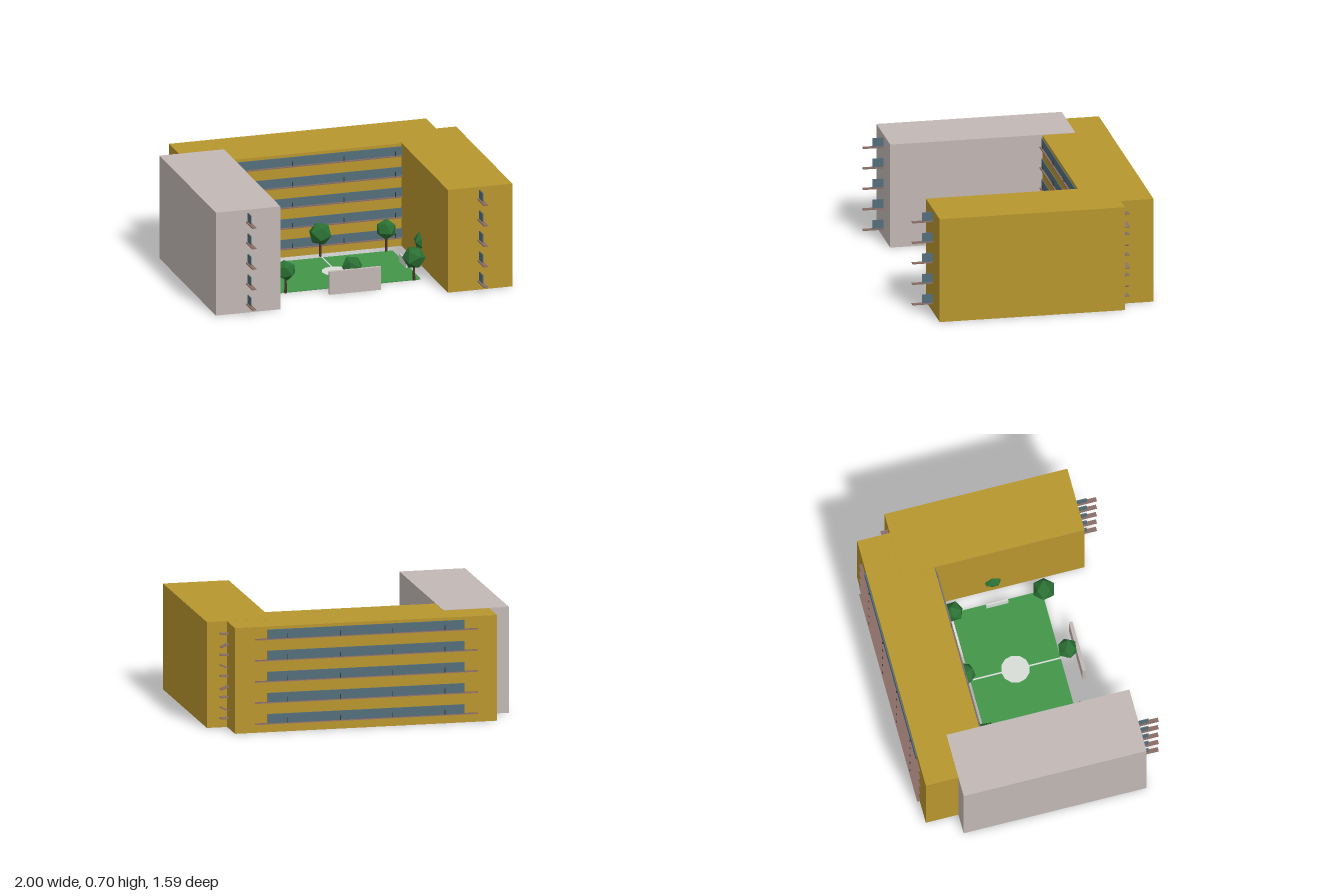
import * as THREE from 'three';

const mat = (color, flatShading = false) => new THREE.MeshStandardMaterial({ color, flatShading });

export function createModel() {
  const model = new THREE.Group();
  const ochre = mat(0xb8962e), stone = mat(0xc2b8b5), glass = mat(0x546e7a);
  const brown = mat(0x8a6d66), dark = mat(0x3e3532), grass = mat(0x43964a);
  const white = mat(0xd8ddd8), leaf = mat(0x2b7034, true), bark = mat(0x4a342c);

  const add = (parent, name, geometry, material, x, y, z) => {
    const mesh = new THREE.Mesh(geometry, material);
    mesh.name = name;
    mesh.position.set(x, y, z);
    parent.add(mesh);
    return mesh;
  };
  // Box given by its limits along each axis
  const box = (parent, name, material, [x0, x1], [y0, y1], [z0, z1]) =>
    add(parent, name, new THREE.BoxGeometry(x1 - x0, y1 - y0, z1 - z0), material,
      (x0 + x1) / 2, (y0 + y1) / 2, (z0 + z1) / 2);

  // Building blocks around the courtyard
  box(model, 'mainBlock', ochre, [-0.868, 0.866], [0, 0.696], [-0.775, -0.34]);
  box(model, 'leftWing', ochre, [0.565, 1], [0, 0.697], [-0.558, 0.66]);
  box(model, 'rightWing', stone, [-1, -0.565], [0, 0.698], [-0.558, 0.66]);

  // Window bands, ledges and end balconies on each of five floors
  for (let i = 0; i < 5; i++) {
    const y = 0.06 + i * 0.139;
    const floor = new THREE.Group();
    floor.name = 'floor' + (i + 1);
    model.add(floor);
    const sill = [y - 0.005, y + 0.002], pane = [y, y + 0.06], post = [y, y + 0.032];

    box(floor, 'courtyardLedge', brown, [-0.566, 0.566], sill, [-0.345, -0.322]);
    box(floor, 'courtyardWindow', glass, [-0.566, 0.566], pane, [-0.345, -0.334]);
    box(floor, 'rearLedge', brown, [-0.735, 0.735], sill, [-0.776, -0.797]);
    box(floor, 'rearWindow', glass, [-0.65, 0.65], pane, [-0.784, -0.774]);
    for (const x of [-0.52, -0.175, 0.172, 0.52]) {
      box(floor, 'courtyardDivider', dark, [x - 0.002, x + 0.002], post, [-0.336, -0.328]);
      box(floor, 'rearDivider', dark, [x - 0.002, x + 0.002], post, [-0.792, -0.782]);
    }
    for (const x of [-0.783, 0.779]) {
      box(floor, 'endLedge', brown, [x - 0.014, x + 0.014], sill, [0.655, 0.795]);
      box(floor, 'endScreen', glass, [x - 0.003, x + 0.003], pane, [0.655, 0.73]);
    }

    // Outside stair in the rear corner: landings joined by sloping flights
    box(floor, 'stairLanding', brown, [0.862, 0.918], [y + 0.002, y + 0.008], [-0.606, -0.553]);
    if (i < 4) {
      const flight = box(floor, 'stairFlight', brown,
        [0.862, 0.918], [y + 0.063, y + 0.069], [-0.606, -0.553]);
      flight.rotation.z = i % 2 ? -0.38 : 0.38;
    }
  }

  // Sports pitch
  const pitch = new THREE.Group();
  pitch.name = 'pitch';
  model.add(pitch);
  box(pitch, 'lawn', grass, [-0.48, 0.477], [0, 0.006], [-0.25, 0.352]);
  box(pitch, 'centreLine', white, [-0.005, 0.005], [0.004, 0.009], [-0.25, 0.352]);
  add(pitch, 'centreCircle', new THREE.CylinderGeometry(0.094, 0.094, 0.006, 12), white, 0, 0.007, 0.05);
  for (const x of [-0.457, 0.455])
    box(pitch, 'goal', white, [x - 0.005, x + 0.005], [0, 0.06], [-0.025, 0.122]);

  // Low wall at the open side of the courtyard
  box(model, 'entranceWall', stone, [-0.176, 0.171], [0, 0.155], [0.451, 0.475]);

  // Trees: x, z, crown radius
  const trees = [
    [-0.435, -0.25, 0.087], [0, -0.29, 0.078], [0.432, -0.25, 0.069],
    [-0.435, 0.355, 0.07], [0, 0.397, 0.07], [0.432, 0.352, 0.077],
    [-0.6, 0.05, 0.07], [0.592, 0.05, 0.07],
  ];
  trees.forEach(([x, z, r], i) => {
    const tree = new THREE.Group();
    tree.name = 'tree' + (i + 1);
    tree.position.set(x, 0, z);
    model.add(tree);
    add(tree, 'trunk', new THREE.CylinderGeometry(0.007, 0.009, 0.12, 6), bark, 0, 0.06, 0);
    const crown = add(tree, 'crown', new THREE.IcosahedronGeometry(r, 0), leaf, 0, 0.155, 0);
    crown.rotation.set(0.3 + i * 0.7, i * 1.3, i * 0.4);
  });
  return model;
}
